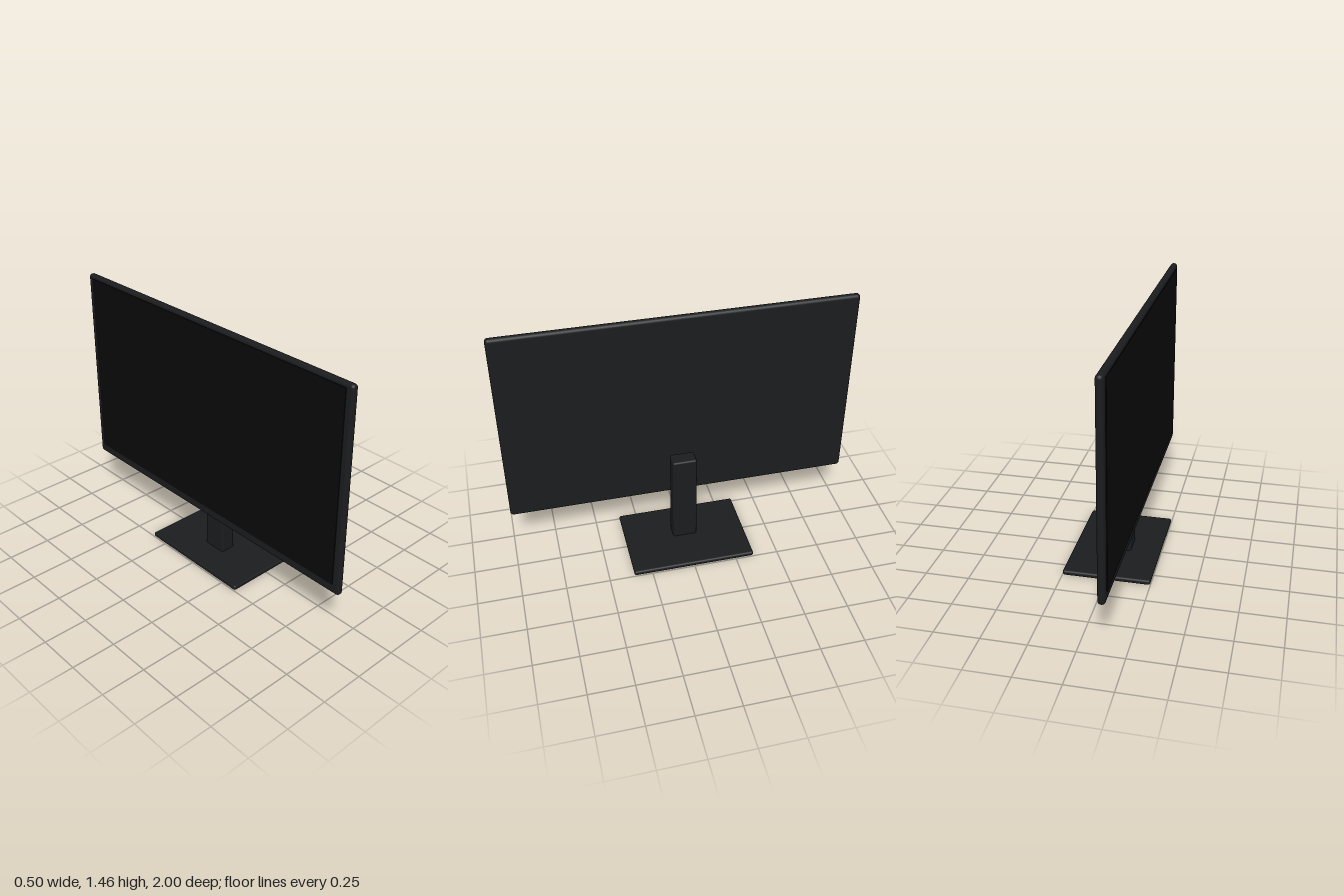
import * as THREE from 'three';
import { RoundedBoxGeometry } from 'three/addons/geometries/RoundedBoxGeometry.js';

const casing = new THREE.MeshStandardMaterial({ color: 0x1b1c1e });
const glass = new THREE.MeshStandardMaterial({ color: 0x0a0a0a });

// Rounded block spanning the given limits on each axis
function block(name, [x0, x1], [y0, y1], [z0, z1], radius, material) {
  const geometry = new RoundedBoxGeometry(x1 - x0, y1 - y0, z1 - z0, 4, radius);
  const mesh = new THREE.Mesh(geometry, material);
  mesh.name = name;
  mesh.position.set((x0 + x1) / 2, (y0 + y1) / 2, (z0 + z1) / 2);
  return mesh;
}

export function createModel() {
  const model = new THREE.Group();
  model.name = 'monitor';

  // Display: thin housing with a slightly proud screen on its -x face
  model.add(block('housing', [-0.148, -0.107], [0.288, 1.461], [-1, 1], 0.019, casing));
  const screen = new THREE.Mesh(new THREE.BoxGeometry(0.012, 1.094, 1.92), glass);
  screen.name = 'screen';
  screen.position.set(-0.146, 0.893, 0);
  model.add(screen);

  // Stand: upright column behind the panel on a flat foot
  model.add(block('column', [-0.081, 0.008], [0.015, 0.587], [-0.071, 0.071], 0.012, casing));
  model.add(block('base', [-0.249, 0.249], [0, 0.029], [-0.356, 0.356], 0.012, casing));

  return model;
}
